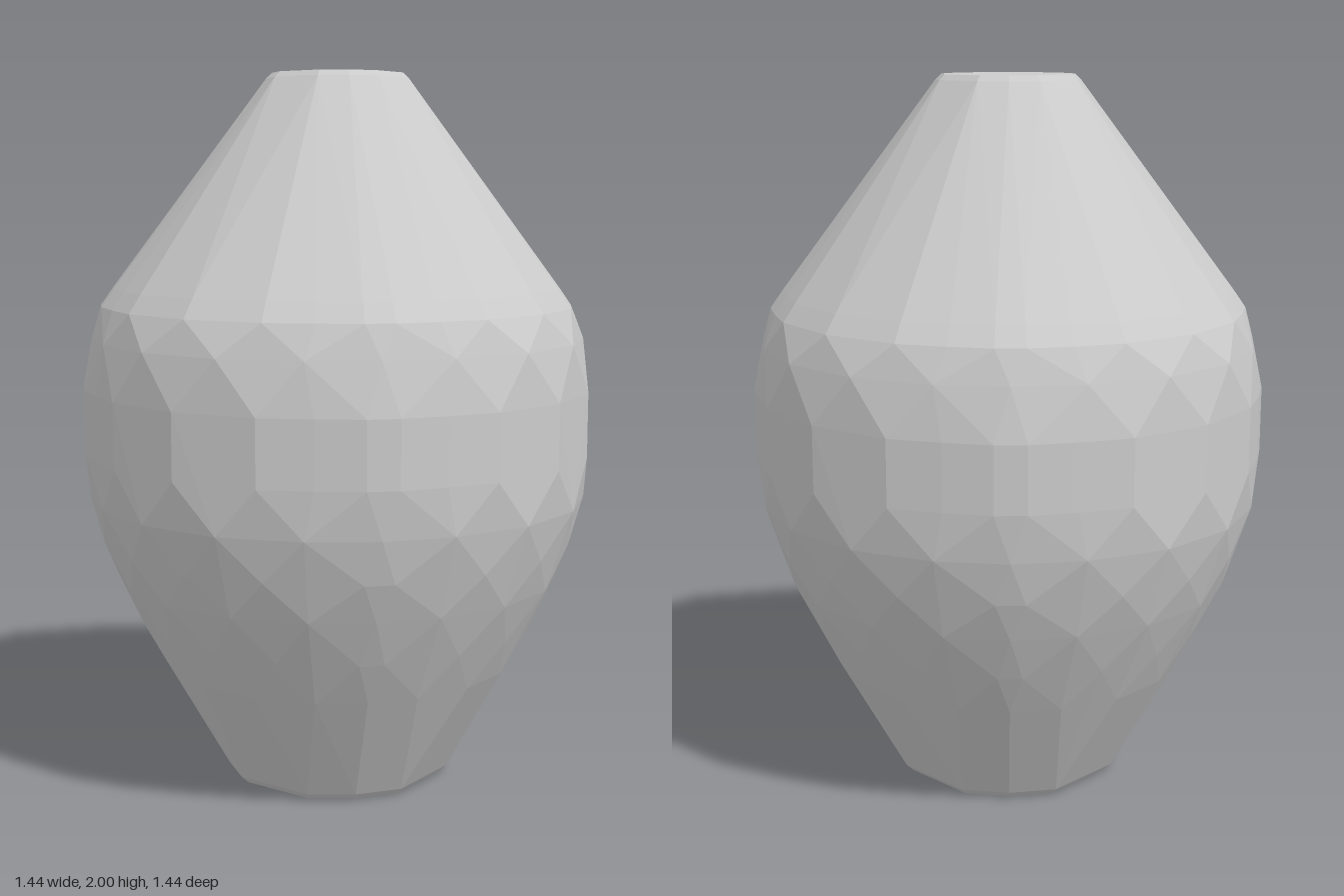
import * as THREE from 'three';
import { ConvexGeometry } from 'three/addons/geometries/ConvexGeometry.js';

// Ring outlines over one eighth of a turn: [angle in degrees, radius factor]
const POINTED = [[0, 1], [19.4, 1.0], [31.2, 0.99], [41.6, 1.002]];
const BLUNT = [[10, 1.015], [29, 1.005], [45, 1.005]];
const RIM = [[21, 1.07], [45, 1.05]];

// Body profile from foot to mouth: [radius, height, outline]
const PROFILE = [
  [0.285, 0, RIM], [0.305, 0.02, RIM], [0.50, 0.34, BLUNT], [0.565, 0.46, POINTED],
  [0.625, 0.59, BLUNT], [0.67, 0.70, POINTED], [0.70, 0.82, BLUNT], [0.718, 0.95, POINTED],
  [0.718, 1.13, POINTED], [0.69, 1.27, BLUNT], [0.665, 1.36, POINTED], [0.63, 1.41, POINTED],
  [0.19, 1.985, RIM], [0.175, 2, RIM],
];

// Mirror an eighth about the diagonal, then repeat it around the axis
function ringPoints([radius, y, outline]) {
  const points = [];
  for (let quarter = 0; quarter < 4; quarter++) {
    for (const [deg, k] of outline) {
      const angles = deg === 0 || deg === 45 ? [deg] : [deg, 90 - deg];
      for (const a of angles) {
        const t = THREE.MathUtils.degToRad(a + quarter * 90);
        points.push(new THREE.Vector3(Math.cos(t) * radius * k, y, Math.sin(t) * radius * k));
      }
    }
  }
  return points;
}

export function createModel() {
  const group = new THREE.Group();
  group.name = 'vase';

  // Closed, faceted vase body wrapped around the rings
  const material = new THREE.MeshStandardMaterial({ color: 0xcccccc, flatShading: true });
  const body = new THREE.Mesh(new ConvexGeometry(PROFILE.flatMap(ringPoints)), material);
  body.name = 'vaseBody';
  group.add(body);
  return group;
}
